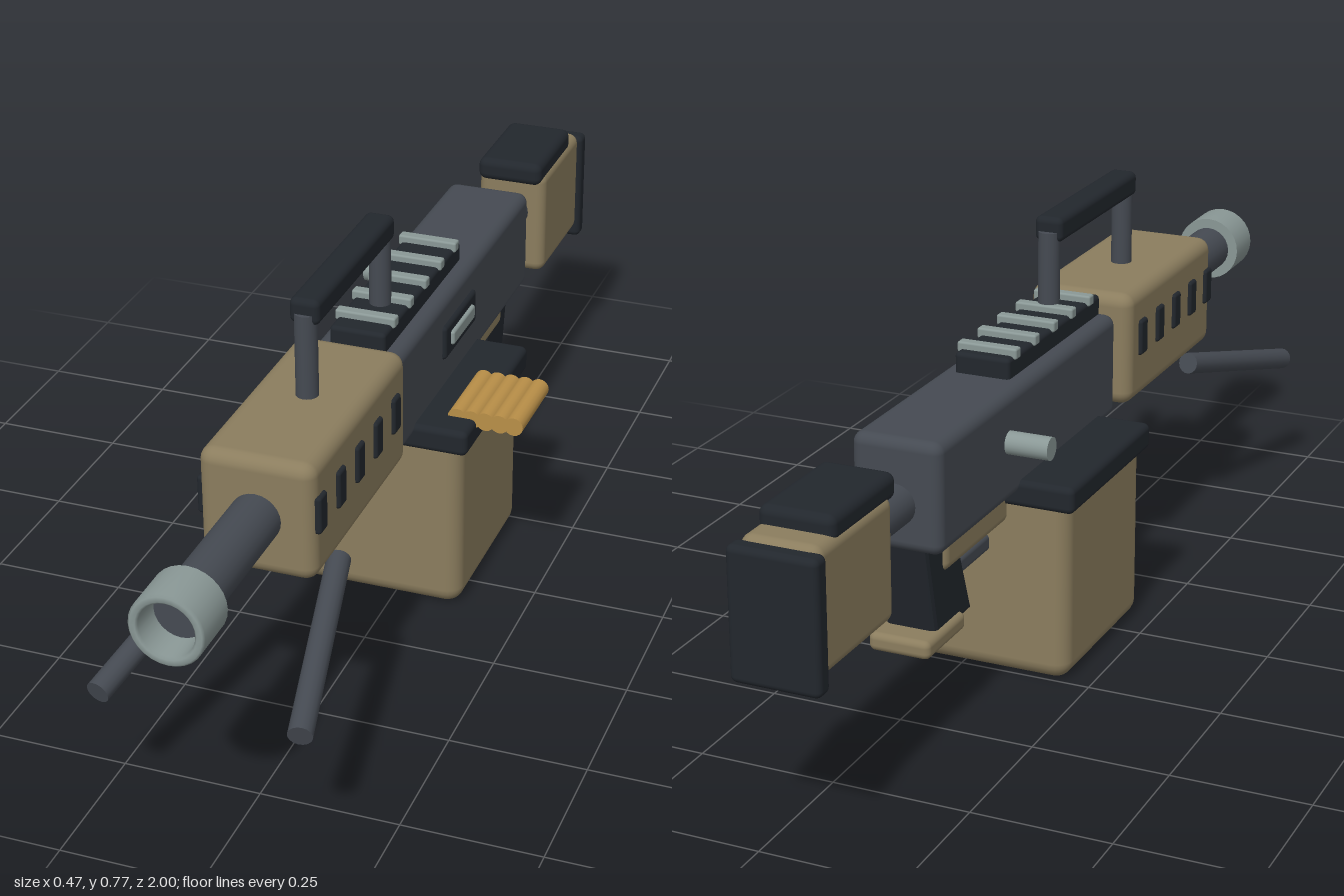
import * as THREE from 'three';
import { RoundedBoxGeometry } from 'three/addons/geometries/RoundedBoxGeometry.js';

const AXIS = -0.038; // x of the centre line of the body
const material = (color) => new THREE.MeshStandardMaterial({ color });

export function createModel() {
  const model = new THREE.Group();
  model.name = 'mountedGun';
  const tan = material(0x8b7d5e);
  const black = material(0x22272d);
  const steel = material(0x454a52);
  const silver = material(0x8a9896);
  const brass = material(0xb98f48);

  function add(name, geometry, mat) {
    const mesh = new THREE.Mesh(geometry, mat);
    mesh.name = name;
    model.add(mesh);
    return mesh;
  }

  // Rounded box given by its limits on each axis
  function box(name, mat, [x0, x1], [y0, y1], [z0, z1], radius = 0.01) {
    const w = x1 - x0, h = y1 - y0, d = z1 - z0;
    const r = Math.min(radius, w * 0.45, h * 0.45, d * 0.45);
    const mesh = add(name, new RoundedBoxGeometry(w, h, d, 3, r), mat);
    mesh.position.set((x0 + x1) / 2, (y0 + y1) / 2, (z0 + z1) / 2);
    return mesh;
  }

  // Limits centred on the body
  const wide = (w) => [AXIS - w / 2, AXIS + w / 2];

  // Cylinder between two points
  function rod(name, mat, from, to, radius, sides = 24) {
    const a = new THREE.Vector3(...from), b = new THREE.Vector3(...to);
    const mesh = add(name, new THREE.CylinderGeometry(radius, radius, a.distanceTo(b), sides), mat);
    mesh.position.copy(a).lerp(b, 0.5);
    mesh.quaternion.setFromUnitVectors(new THREE.Vector3(0, 1, 0), b.sub(a).normalize());
    return mesh;
  }

  // Receiver and fore-end
  box('receiver', steel, wide(0.165), [0.355, 0.555], [-0.58, 0.185], 0.02);
  box('handguard', tan, wide(0.206), [0.365, 0.585], [0.2, 0.645], 0.025);
  rod('receiverNeck', steel, [AXIS, 0.475, 0.16], [AXIS, 0.475, 0.22], 0.05);
  for (const side of [-1, 1]) {
    for (const z of [0.615, 0.528, 0.44, 0.352, 0.263]) {
      const x = AXIS + side * 0.102;
      box('vent', black, [x - 0.008, x + 0.008], [0.455, 0.525], [z - 0.017, z + 0.017], 0.006);
    }
  }

  // Barrel and hollow muzzle
  rod('barrel', steel, [AXIS, 0.475, 0.6], [AXIS, 0.475, 0.945], 0.045);
  const ring = [[0.044, 0], [0.065, 0], [0.065, 0], [0.065, 0.086], [0.061, 0.09], [0.052, 0.09],
    [0.048, 0.086], [0.044, 0]].map(([r, y]) => new THREE.Vector2(r, y));
  const muzzle = add('muzzle', new THREE.LatheGeometry(ring, 28), silver);
  muzzle.material = silver.clone();
  muzzle.material.side = THREE.DoubleSide;
  muzzle.rotation.x = Math.PI / 2;
  muzzle.position.set(AXIS, 0.475, 0.91);

  // Carry handle
  rod('handlePostFront', steel, [AXIS, 0.57, 0.41], [AXIS, 0.74, 0.41], 0.02);
  rod('handlePostRear', steel, [AXIS, 0.55, 0.055], [AXIS, 0.74, 0.055], 0.02);
  box('carryHandle', black, wide(0.054), [0.72, 0.767], [0.047, 0.422], 0.012);

  // Top rail
  box('rail', black, wide(0.105), [0.545, 0.592], [-0.24, 0.175], 0.008);
  for (let i = 0; i < 5; i++) {
    const z = 0.124 - i * 0.083;
    box('railSlat', silver, wide(0.114), [0.585, 0.605], [z - 0.011, z + 0.011], 0.004);
  }

  // Ejection port and charging handle
  box('ejectionPort', black, [0.03, 0.052], [0.435, 0.503], [-0.228, -0.05], 0.008);
  box('portSlot', silver, [0.04, 0.059], [0.456, 0.484], [-0.2, -0.077], 0.005);
  rod('chargingHandle', silver, [-0.2, 0.467, -0.305], [-0.1, 0.467, -0.305], 0.021);

  // Ammunition box with a belt of rounds
  box('ammoBox', tan, [-0.208, 0.131], [0, 0.36], [-0.255, 0.1], 0.032);
  box('ammoBoxLid', black, [-0.223, 0.145], [0.33, 0.38], [-0.265, 0.107], 0.012);
  for (let i = 0; i < 5; i++) {
    const x = 0.108 + i * 0.027;
    rod('round', brass, [x, 0.379, -0.11], [x, 0.379, 0.05], 0.018, 16);
  }

  // Grip, leaning forward towards its foot
  const side = new THREE.Shape([[0.46, 0.365], [0.558, 0.365], [0.52, 0.19], [0.396, 0.19]]
    .map(([z, y]) => new THREE.Vector2(z, y)));
  const gripGeometry = new THREE.ExtrudeGeometry(side, {
    depth: 0.075, bevelEnabled: true, bevelSize: 0.01, bevelThickness: 0.01, bevelSegments: 2,
  });
  gripGeometry.translate(0, 0, -0.0375).rotateY(Math.PI / 2);
  add('grip', gripGeometry, black).position.x = AXIS;
  box('gripFoot', tan, wide(0.115), [0.163, 0.197], [-0.58, -0.43], 0.012);
  box('lowerReceiver', tan, wide(0.11), [0.292, 0.37], [-0.505, -0.24], 0.018);
  box('triggerGuard', steel, wide(0.04), [0.232, 0.266], [-0.42, -0.23], 0.01);

  // Stock
  rod('stockTube', steel, [AXIS, 0.44, -0.56], [AXIS, 0.44, -0.75], 0.037);
  box('stock', tan, wide(0.142), [0.305, 0.525], [-0.975, -0.723], 0.02);
  box('cheekRest', black, wide(0.134), [0.508, 0.555], [-0.92, -0.702], 0.016);
  box('buttPad', black, wide(0.16), [0.285, 0.517], [-1, -0.962], 0.012);

  // Bipod
  for (const s of [-1, 1]) {
    rod('bipodLeg', steel, [AXIS + s * 0.1, 0.35, 0.53], [AXIS + s * 0.176, 0.255, 0.9], 0.021, 16);
  }
  return model;
}
